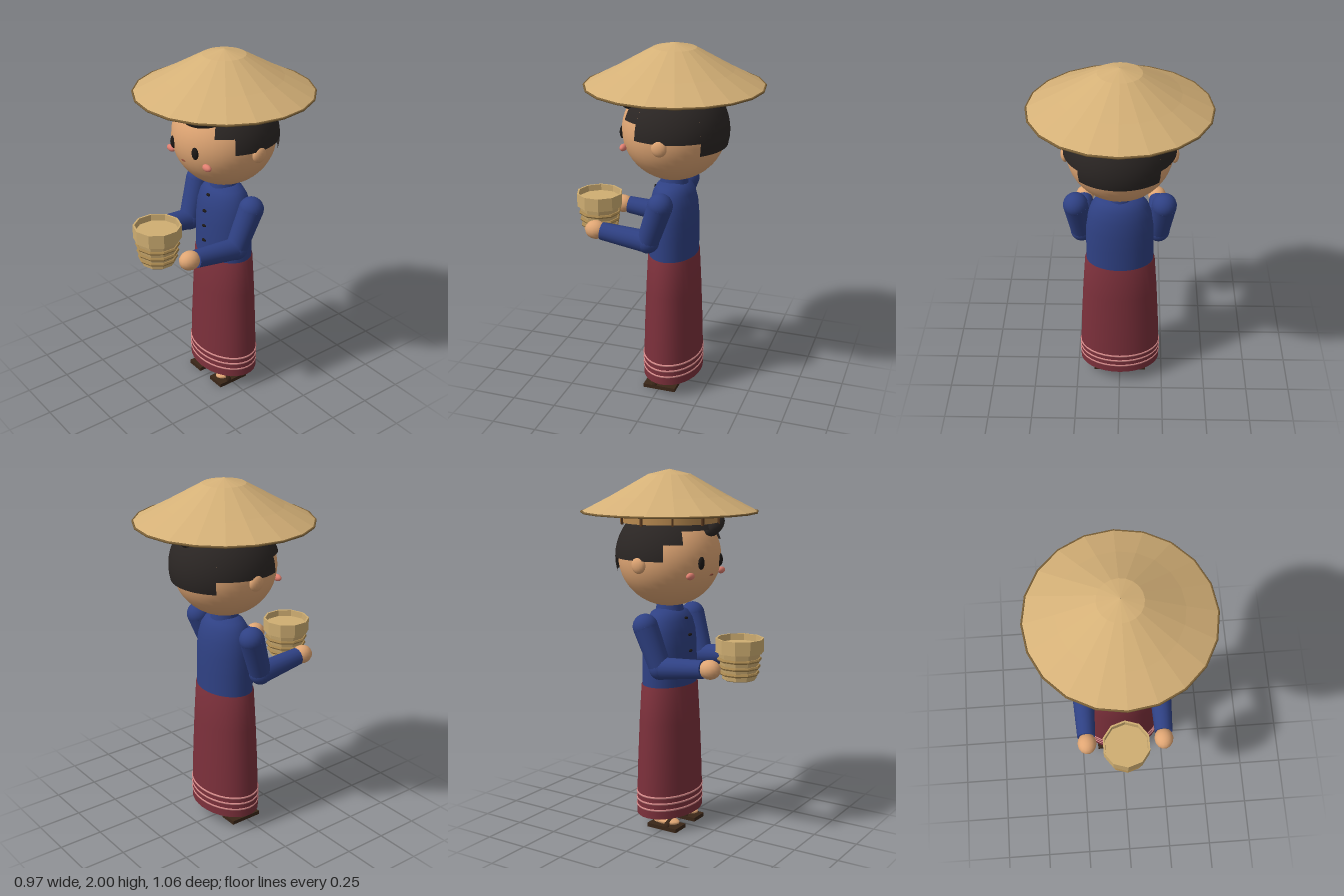
import * as THREE from 'three';

const CZ = -0.045; // depth of the body axis
const mat = (color, extra = {}) => new THREE.MeshStandardMaterial({ color, ...extra });
const DS = { side: THREE.DoubleSide };
const M = {
  skin: mat(0xe0a674), hair: mat(0x2b2624, DS), blue: mat(0x2f4184, DS), red: mat(0x7c303b, DS),
  pink: mat(0xd98c8c), cheek: mat(0xe07f70), dark: mat(0x1c1816), mouth: mat(0x8a4a38), wood: mat(0x5a3a20),
  straw: mat(0xd4b077, { ...DS, flatShading: true }), band: mat(0xb98a50, DS), rim: mat(0x7d6238),
  basket: mat(0xcfae72, { ...DS, flatShading: true }), weave: mat(0xa98850, { flatShading: true }), sole: mat(0x3a2618),
};

export function createModel() {
  const root = new THREE.Group();

  const add = (name, geo, material, x = 0, y = 0, z = 0, parent = root) => {
    const m = new THREE.Mesh(geo, material);
    m.name = name;
    m.position.set(x, y, z);
    parent.add(m);
    return m;
  };
  const ball = (name, material, x, y, z, rx, ry, rz, seg = 20) => {
    const m = add(name, new THREE.SphereGeometry(1, seg, Math.ceil(seg * 0.7)), material, x, y, z);
    m.scale.set(rx, ry, rz);
    return m;
  };
  const lathe = (pts, seg) => new THREE.LatheGeometry(pts.map(p => new THREE.Vector2(...p)), seg);
  const limb = (name, material, a, b, ra, rb) => {
    const A = new THREE.Vector3(...a), B = new THREE.Vector3(...b), d = B.clone().sub(A);
    const m = add(name, new THREE.CylinderGeometry(rb, ra, d.length(), 16), material);
    m.position.copy(A).add(B).multiplyScalar(0.5);
    m.quaternion.setFromUnitVectors(new THREE.Vector3(0, 1, 0), d.normalize());
  };
  const hoop = (name, material, r, tube, y, z, seg, depth = 1) => {
    const g = new THREE.TorusGeometry(r, tube, 6, seg);
    g.rotateX(Math.PI / 2).rotateY(Math.PI / 2).scale(1, 1, depth);
    return add(name, g, material, 0, y, z);
  };

  // Long skirt with woven stripes at the hem
  const skirt = add('skirt', lathe([[0.232, 0.09], [0.23, 0.2], [0.222, 0.4], [0.21, 0.62], [0.195, 0.83], [0.15, 0.832]], 32), M.red, 0, 0, CZ);
  skirt.scale.z = 0.71;
  for (const y of [0.14, 0.177, 0.213]) hoop('hemStripe', M.pink, 0.2285, 0.0065, y, CZ, 32, 0.715);

  // Jacket, collar and buttons
  const jacket = add('jacket', lathe([[0.187, 0.825], [0.187, 0.95], [0.185, 1.05], [0.175, 1.13], [0.155, 1.19], [0.125, 1.23], [0.08, 1.25], [0, 1.255]], 32), M.blue, 0, 0, CZ);
  jacket.scale.z = 0.72;
  add('collar', new THREE.CylinderGeometry(0.072, 0.078, 0.035, 24), M.blue, 0, 1.255, CZ);
  for (const [y, z] of [[1.2, 0.06], [1.11, 0.086], [1.02, 0.09], [0.93, 0.091]])
    ball('button', M.dark, 0, y, z, 0.016, 0.008, 0.01, 10);

  // Head and face
  ball('head', M.skin, 0, 1.535, CZ, 0.283, 0.273, 0.28, 36);
  ball('mouth', M.mouth, 0, 1.45, 0.218, 0.018, 0.006, 0.008, 10);
  for (const s of [1, -1]) {
    ball('eye', M.dark, s * 0.096, 1.52, 0.214, 0.023, 0.035, 0.015, 16);
    ball('cheek', M.cheek, s * 0.16, 1.455, 0.187, 0.032, 0.019, 0.018, 16);
    ball('ear', M.skin, s * 0.285, 1.51, -0.055, 0.024, 0.045, 0.042, 16);
  }

  // Hair: sphere shell cut to stepped lengths, measured in degrees from the front
  const R = 0.297;
  const hair = (from, to, bottom) => {
    const g = new THREE.SphereGeometry(R, Math.ceil((to - from) / 8), 14,
      THREE.MathUtils.degToRad(from + 90), THREE.MathUtils.degToRad(to - from), 0, Math.acos((bottom - 1.535) / R));
    g.scale(1, 0.98, 1);
    add('hair', g, M.hair, 0, 1.535, CZ);
  };
  hair(-43, 43, 1.69);
  for (const s of [1, -1]) {
    hair(Math.min(s * 43, s * 64), Math.max(s * 43, s * 64), 1.62);
    hair(Math.min(s * 64, s * 135), Math.max(s * 64, s * 135), 1.533);
  }
  hair(135, 225, 1.46);
  ball('fringe', M.hair, 0.1, 1.7, 0.155, 0.142, 0.05, 0.065).rotation.set(0, 0.2, 0.28);
  ball('bun', M.hair, 0, 1.72, -0.265, 0.06, 0.06, 0.06);

  // Conical straw hat with inner head band and ribs
  add('hat', lathe([[0.48, 1.775], [0.315, 1.86], [0.115, 1.973], [0.001, 2]], 20), M.straw, 0, 0, CZ);
  hoop('hatRim', M.rim, 0.477, 0.006, 1.775, CZ, 20);
  add('hatBand', new THREE.CylinderGeometry(0.268, 0.268, 0.085, 30, 1, true), M.band, 0, 1.762, CZ);
  for (let i = 0; i < 10; i++) {
    const a = (i + 0.5) * Math.PI / 5;
    const rib = add('hatRib', new THREE.BoxGeometry(0.012, 0.11, 0.012), M.wood, 0.272 * Math.sin(a), 1.768, CZ + 0.272 * Math.cos(a));
    rib.rotation.y = a;
  }

  // Arms bent forward, legs and sandals
  for (const s of [1, -1]) {
    const shoulder = [s * 0.24, 1.18, CZ], elbow = [s * 0.215, 0.955, 0.035], wrist = [s * 0.212, 0.982, 0.3];
    ball('shoulder', M.blue, ...shoulder, 0.068, 0.068, 0.068);
    limb('upperArm', M.blue, shoulder, elbow, 0.068, 0.06);
    ball('elbow', M.blue, ...elbow, 0.063, 0.063, 0.063);
    limb('forearm', M.blue, elbow, wrist, 0.061, 0.049);
    ball('hand', M.skin, s * 0.21, 0.985, 0.338, 0.052, 0.052, 0.06, 14);

    add('leg', new THREE.CylinderGeometry(0.05, 0.042, 0.36, 16), M.skin, s * 0.1, 0.22, CZ + 0.005);
    ball('foot', M.skin, s * 0.1, 0.045, -0.005, 0.044, 0.021, 0.085, 16);
    add('sandalSole', new THREE.BoxGeometry(0.105, 0.022, 0.19), M.sole, s * 0.1, 0.014, -0.005);
    const strap = add('sandalStrap', new THREE.TorusGeometry(0.046, 0.008, 6, 12, Math.PI), M.sole, s * 0.1, 0.025, 0.025);
    strap.scale.set(1, 0.8, 2);
  }

  // Carried basket with a deep rim and woven bands
  const BZ = 0.397;
  add('basket', lathe([[0, 0.915], [0.08, 0.915], [0.085, 0.9], [0.092, 0.905], [0.096, 0.94], [0.114, 1.05],
    [0.13, 1.05], [0.13, 1.125], [0.12, 1.125], [0.118, 1.09], [0, 1.09]], 10), M.basket, 0, 0, BZ);
  for (const [y, r] of [[0.937, 0.099], [0.972, 0.105], [1.012, 0.111]])
    hoop('basketBand', M.weave, r, 0.01, y, BZ, 10);

  return root;
}
